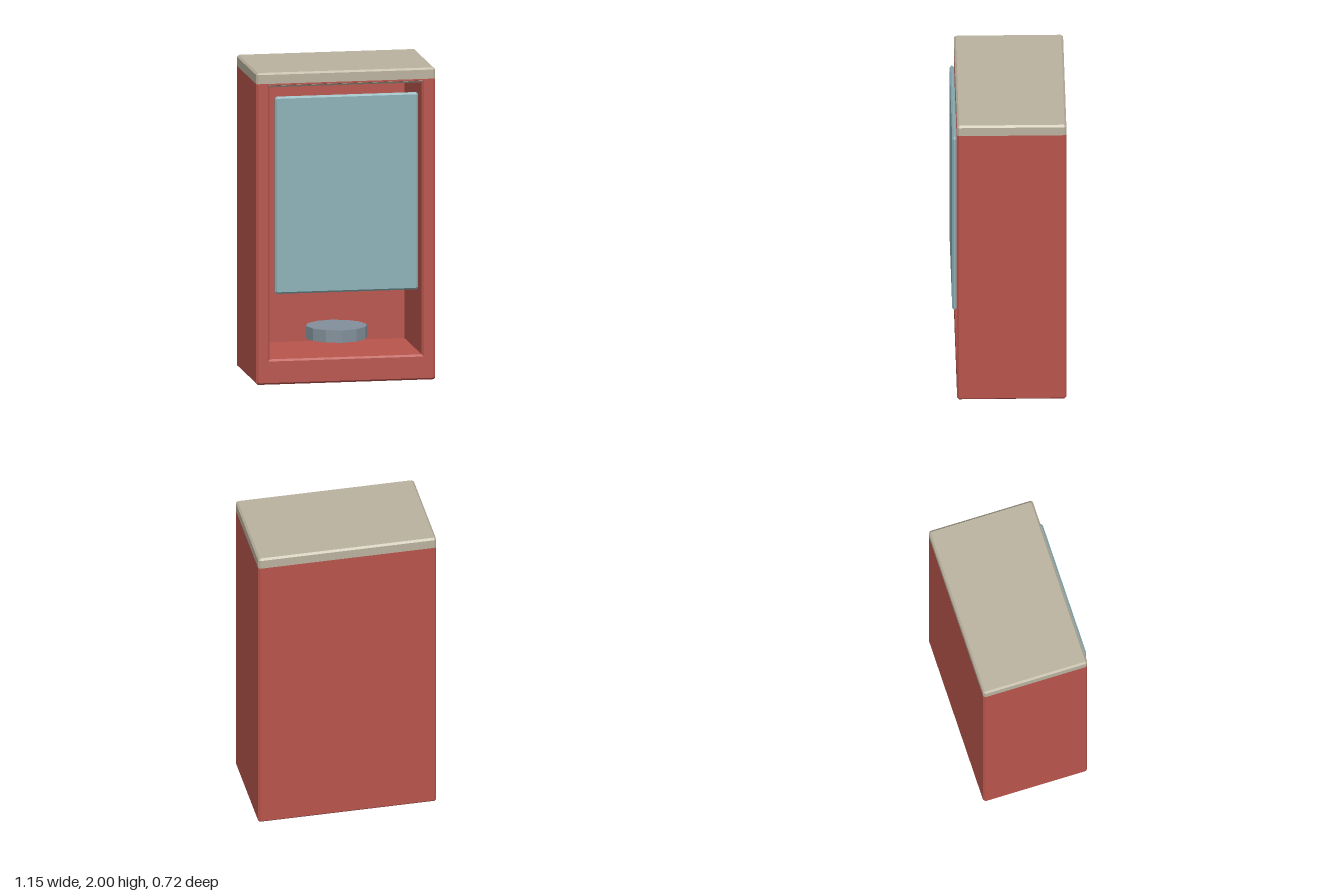
import * as THREE from 'three';

const B = 0.012; // chamfer width

const mat = (name, color) => {
  const m = new THREE.MeshStandardMaterial({ color });
  m.name = name;
  return m;
};

// Rectangle outline with chamfered corners
function chamferedRect(x0, y0, x1, y1, c = B) {
  return new THREE.Shape([
    [x0 + c, y0], [x1 - c, y0], [x1, y0 + c], [x1, y1 - c],
    [x1 - c, y1], [x0 + c, y1], [x0, y1 - c], [x0, y0 + c],
  ].map(([x, y]) => new THREE.Vector2(x, y)));
}

// Slab with chamfered edges, from 0 to thickness along z
function slab(shape, thickness) {
  const geo = new THREE.ExtrudeGeometry(shape, {
    depth: thickness - 2 * B, bevelEnabled: true, bevelSegments: 1,
    bevelSize: B, bevelThickness: B, bevelOffset: -B,
  });
  return geo.translate(0, 0, B);
}

// Faceted upright cylinder
function facetedCylinder(radius, height) {
  const geo = new THREE.CylinderGeometry(radius, radius, height, 12).toNonIndexed();
  geo.computeVertexNormals();
  return geo;
}

export function createModel() {
  const model = new THREE.Group();
  model.name = 'vendingMachine';

  const red = mat('cabinet red', 0xb8554c);
  const beige = mat('trim beige', 0xbab29f);
  const teal = mat('panel teal', 0x8cb1b7);
  const steel = mat('steel grey', 0x82909b);
  const yellow = mat('can yellow', 0xc09a3e);

  const add = (name, geo, material, x = 0, y = 0, z = 0, parent = model) => {
    const mesh = new THREE.Mesh(geo, material);
    mesh.name = name;
    mesh.position.set(x, y, z);
    parent.add(mesh);
    return mesh;
  };

  // Cabinet walls around an open compartment
  const walls = chamferedRect(-0.575, 0, 0.575, 1.942);
  walls.holes.push(new THREE.Path([
    new THREE.Vector2(-0.488, 0.162), new THREE.Vector2(-0.488, 1.908),
    new THREE.Vector2(0.488, 1.908), new THREE.Vector2(0.488, 0.162),
  ]));
  add('cabinetWalls', slab(walls, 0.69), red, 0, 0, -0.36);
  add('cabinetBack', new THREE.BoxGeometry(1.0, 1.77, 0.08), red, 0, 1.035, -0.32);

  // Roof cap; its lower chamfer is sunk into the walls
  const roof = slab(chamferedRect(-0.575, -0.345, 0.575, 0.345), 0.082);
  roof.rotateX(-Math.PI / 2);
  add('roofCap', roof, beige, 0, 1.918, -0.015);

  // Ceiling lining, with a sloped front lip (profile in z and y)
  const lining = new THREE.Shape([
    [-0.285, 1.906], [0.317, 1.906], [0.329, 1.918], [0.329, 1.921], [-0.285, 1.921],
  ].map(([z, y]) => new THREE.Vector2(-z, y)));
  const liningGeo = new THREE.ExtrudeGeometry(lining, { depth: 0.99, bevelEnabled: false });
  liningGeo.translate(0, 0, -0.495).rotateY(Math.PI / 2);
  add('ceilingLining', liningGeo, beige);

  // Front display panel
  add('displayPanel', slab(chamferedRect(-0.46, 0.585, 0.46, 1.85), 0.028), teal, 0, 0, 0.331);

  // Three rows of three cans
  const cans = new THREE.Group();
  cans.name = 'cans';
  model.add(cans);
  const canGeo = facetedCylinder(0.095, 0.29);
  [[0.72, yellow], [1.15, teal], [1.58, steel]].forEach(([y, material]) => {
    for (const x of [-0.3, 0, 0.3]) add('can', canGeo, material, x, y, 0, cans);
  });

  // Round delivery tray
  add('deliveryTray', facetedCylinder(0.195, 0.08), steel, 0, 0.27, 0);

  return model;
}
